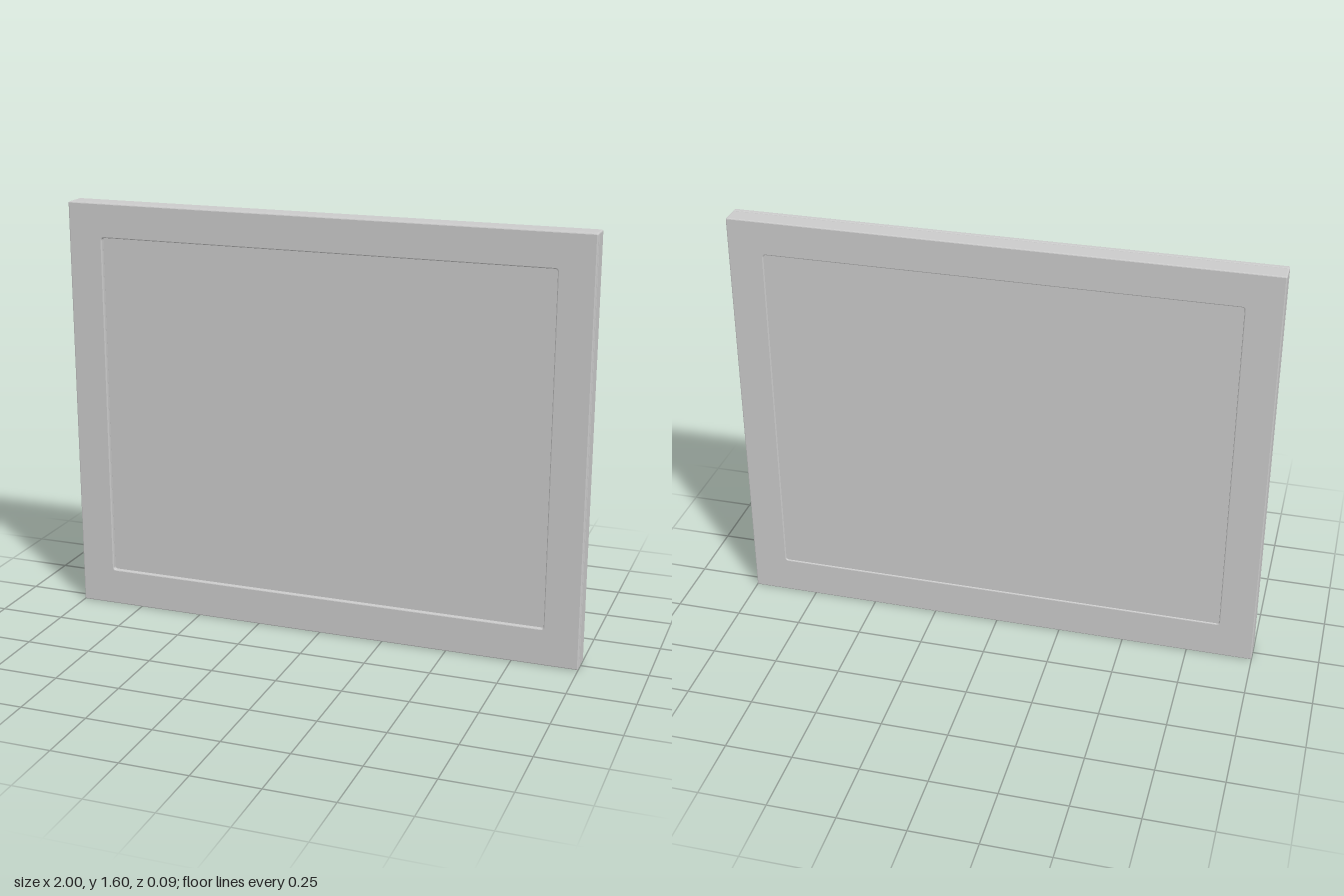
import * as THREE from 'three';

const W = 2, H = 1.6;                                  // outer size
const OPEN = { w: 1.734, h: 1.328, y: 0.806 };         // panel opening
const BACK = -0.046, SEAM = 0.026, FRONT = 0.046;      // depth layers
const BEVEL = 0.004;

// Rounded rectangle outline centred on x = 0 and the given height
function roundedRect(path, w, h, cy, r) {
  const x = w / 2, b = cy - h / 2, t = cy + h / 2;
  path.moveTo(-x + r, b);
  path.lineTo(x - r, b);
  path.quadraticCurveTo(x, b, x, b + r);
  path.lineTo(x, t - r);
  path.quadraticCurveTo(x, t, x - r, t);
  path.lineTo(-x + r, t);
  path.quadraticCurveTo(-x, t, -x, t - r);
  path.lineTo(-x, b + r);
  path.quadraticCurveTo(-x, b, -x + r, b);
  return path;
}

// Rectangular ring with softened edges between two depths
function frame(name, z0, z1, bevel, material) {
  const shape = roundedRect(new THREE.Shape(), W, H, H / 2, 0.006);
  shape.holes.push(roundedRect(new THREE.Path(), OPEN.w, OPEN.h, OPEN.y, 0.01));
  const geometry = new THREE.ExtrudeGeometry(shape, {
    depth: z1 - z0 - 2 * bevel,
    bevelThickness: bevel,
    bevelSize: bevel,
    bevelOffset: -bevel,
    bevelSegments: 2,
    curveSegments: 4,
  });
  geometry.translate(0, 0, z0 + bevel);
  const mesh = new THREE.Mesh(geometry, material);
  mesh.name = name;
  return mesh;
}

export function createModel() {
  const group = new THREE.Group();
  group.name = 'framedPanel';
  const material = new THREE.MeshStandardMaterial({ color: 0xcccccc });

  // Deep rear frame and thin front frame, meeting at a fine seam
  group.add(frame('rearFrame', BACK, SEAM, BEVEL, material));
  group.add(frame('frontFrame', SEAM, FRONT, BEVEL, material));

  // Flat panel: deep recess in front, shallow one behind
  const panelBack = BACK + 0.005;
  const panel = new THREE.Mesh(
    new THREE.BoxGeometry(OPEN.w + 0.02, OPEN.h + 0.02, SEAM - panelBack), material);
  panel.position.set(0, OPEN.y, (SEAM + panelBack) / 2);
  panel.name = 'panel';
  group.add(panel);

  return group;
}
